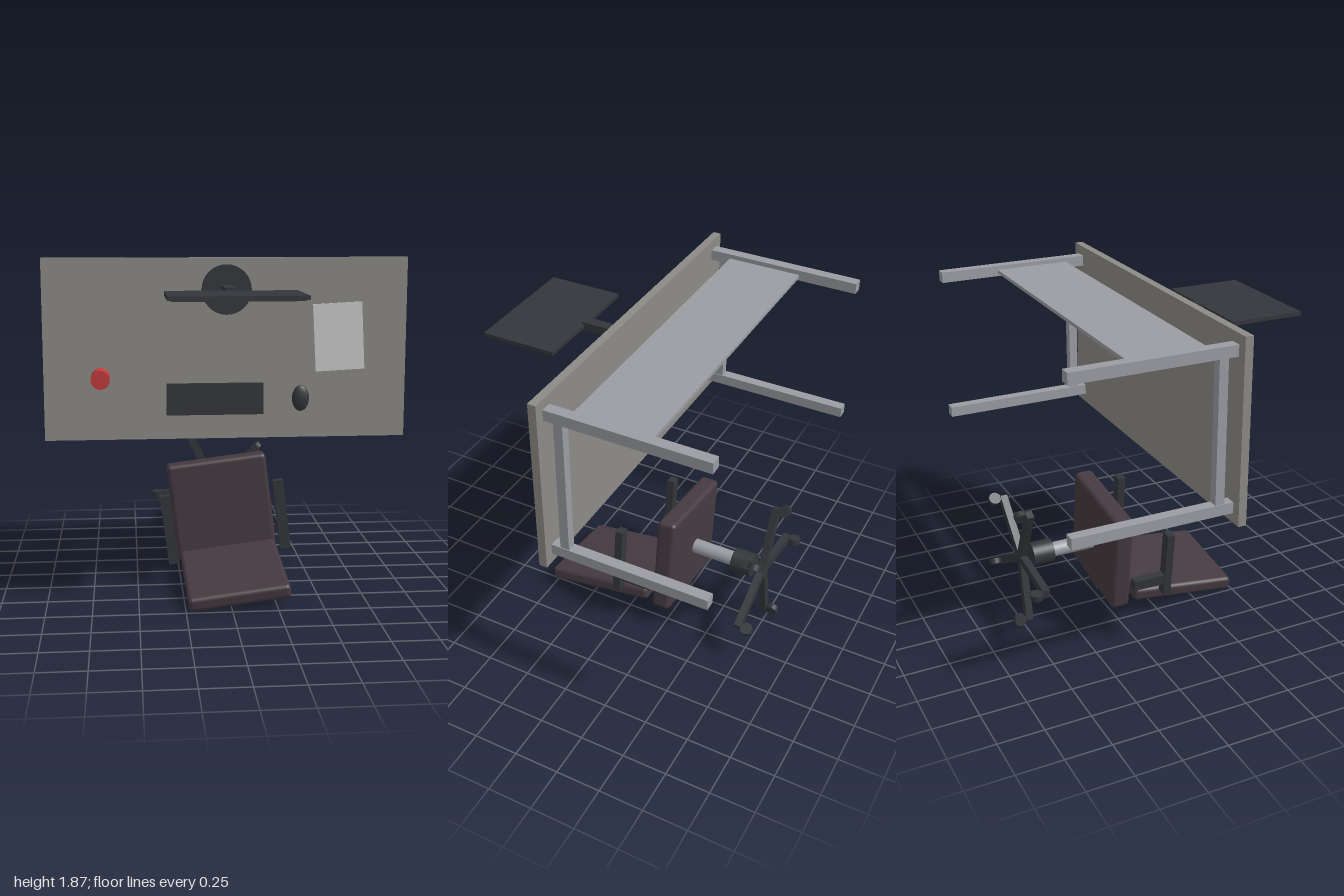
import * as THREE from 'three';
import { RoundedBoxGeometry } from 'three/addons/geometries/RoundedBoxGeometry.js';

const mat = (color) => new THREE.MeshStandardMaterial({ color });
const wood = mat(0x8c8a86), metal = mat(0x9a9ca2), dark = mat(0x33363a);
const fabric = mat(0x453a40), red = mat(0xc23c3c), paperMat = mat(0xcccccc);

function add(parent, name, geometry, material, x, y, z) {
  const mesh = new THREE.Mesh(geometry, material);
  mesh.name = name;
  mesh.position.set(x, y, z);
  parent.add(mesh);
  return mesh;
}

const box = (w, h, d) => new THREE.BoxGeometry(w, h, d);
const padded = (w, h, d) => new RoundedBoxGeometry(w, h, d, 4, 0.025);
// Cylinder standing along z
const rod = (r, length) => new THREE.CylinderGeometry(r, r, length, 32).rotateX(Math.PI / 2);

// The furniture's own "up" runs along +z
function createDesk() {
  const desk = new THREE.Group();
  desk.name = 'desk';
  add(desk, 'tabletop', box(2, 0.995, 0.045), wood, 0, 1.387, 0.0875);
  for (const side of [-1, 1]) {
    for (const y of [0.973, 1.8]) {
      add(desk, 'deskLeg', box(0.06, 0.06, 0.875), metal, side * 0.915, y, -0.3725);
    }
    add(desk, 'sideRail', box(0.05, 0.77, 0.05), metal, side * 0.915, 1.387, -0.01);
  }
  add(desk, 'backPanel', box(1.75, 0.02, 0.425), metal, 0, 1.8, -0.267);
  return desk;
}

function createDeskItems() {
  const items = new THREE.Group();
  items.name = 'deskItems';

  // Monitor
  add(items, 'monitorBase', rod(0.136, 0.025), dark, 0, 1.712, 0.1225);
  add(items, 'monitorStand', box(0.06, 0.05, 0.27), dark, 0, 1.712, 0.26);
  add(items, 'monitorScreen', box(0.7, 0.022, 0.425), dark, 0, 1.713, 0.5975);
  add(items, 'screenPanel', box(0.66, 0.008, 0.385), dark, 0, 1.7, 0.5975);

  // Keyboard, mouse, paper and mug
  add(items, 'keyboard', box(0.535, 0.175, 0.022), dark, -0.064, 1.112, 0.121);
  const mouse = add(items, 'mouse', new THREE.SphereGeometry(1, 32, 20), dark, 0.41, 1.112, 0.13);
  mouse.scale.set(0.048, 0.072, 0.022);
  const paper = add(items, 'paper', box(0.273, 0.372, 0.01), paperMat, 0.622, 1.45, 0.115);
  paper.rotation.z = THREE.MathUtils.degToRad(3);
  add(items, 'mug', rod(0.051, 0.128), red, -0.69, 1.239, 0.174);
  return items;
}

function createChair() {
  const chair = new THREE.Group();
  chair.name = 'chair';
  chair.position.set(0, 0.412, 0);
  chair.rotation.z = THREE.MathUtils.degToRad(7);

  // Seat and leaning backrest
  add(chair, 'seat', padded(0.585, 0.585, 0.11), fabric, 0, 0, -0.235);
  const back = add(chair, 'backrest', padded(0.56, 0.08, 0.64), fabric, 0, -0.29, 0.178);
  back.rotation.x = THREE.MathUtils.degToRad(8);
  add(chair, 'backBracket', box(0.1, 0.05, 0.18), dark, 0, -0.29, -0.19);

  // Armrests
  for (const side of [-1, 1]) {
    add(chair, 'armPad', box(0.06, 0.4, 0.045), dark, side * 0.323, -0.025, 0.024);
    add(chair, 'armPost', box(0.05, 0.06, 0.185), dark, side * 0.323, -0.12, -0.09);
  }

  // Lift column
  add(chair, 'gasLift', rod(0.042, 0.255), metal, 0, 0, -0.4275);
  add(chair, 'liftCover', rod(0.068, 0.122), dark, 0, 0, -0.611);

  // Five-arm base with casters
  for (let i = 0; i < 5; i++) {
    const spoke = new THREE.Group();
    spoke.name = 'baseSpoke';
    spoke.rotation.z = THREE.MathUtils.degToRad(36 + 72 * i);
    add(spoke, 'baseArm', box(0.37, 0.048, 0.04), dark, 0.185, 0, -0.725);
    add(spoke, 'caster', new THREE.CylinderGeometry(0.034, 0.034, 0.032, 24), dark, 0.365, 0, -0.777);
    chair.add(spoke);
  }
  return chair;
}

export function createModel() {
  const model = new THREE.Group();
  model.name = 'deskAndChair';
  model.add(createDesk(), createDeskItems(), createChair());
  return model;
}
